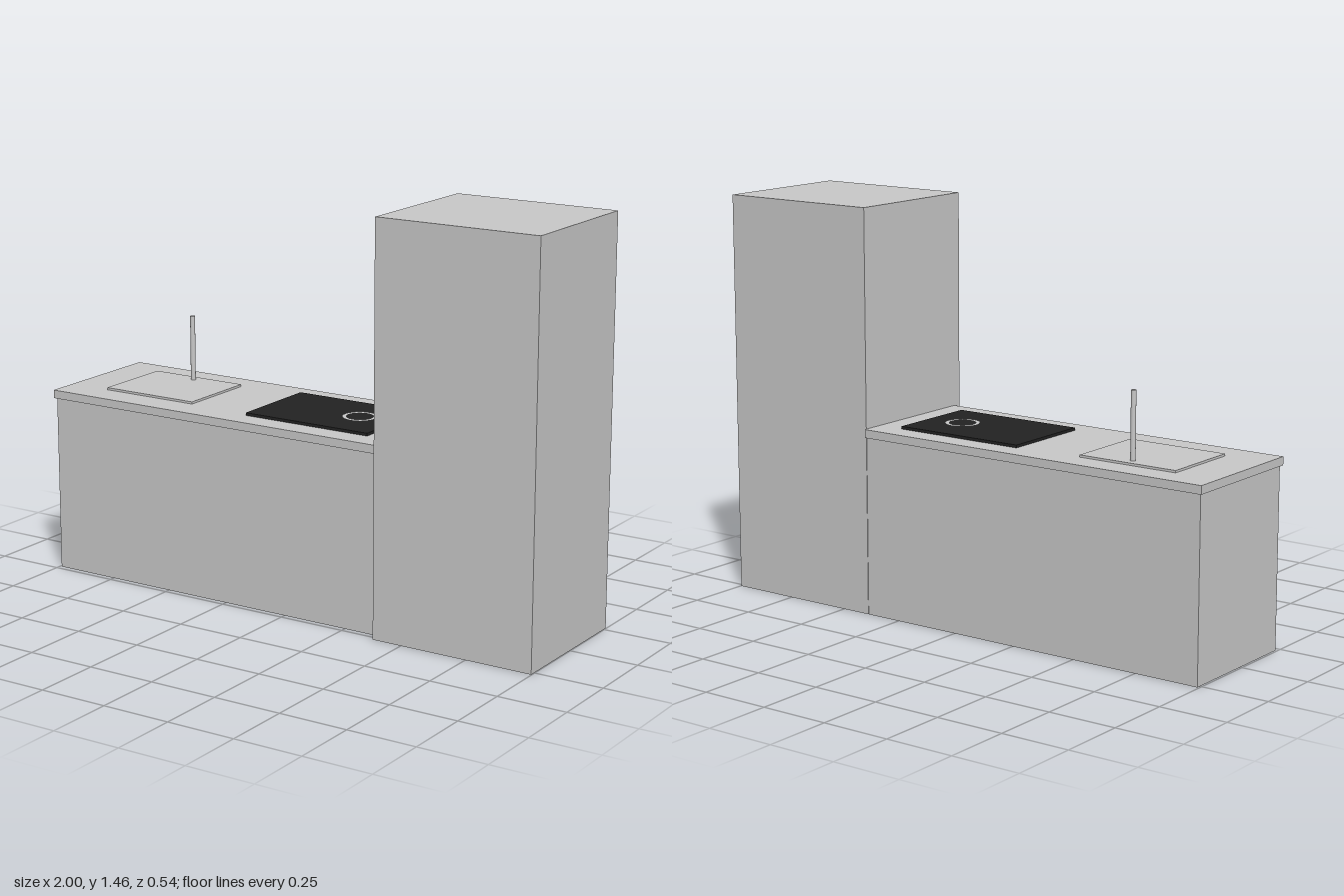
import * as THREE from 'three';

const grey = new THREE.MeshStandardMaterial({ color: 0xc8c8c8 });
grey.name = 'light grey';
const black = new THREE.MeshStandardMaterial({ color: 0x222222 });
black.name = 'hob black';

// Box given by its extents on each axis
function block(name, [x0, x1], [y0, y1], [z0, z1], material) {
  const mesh = new THREE.Mesh(new THREE.BoxGeometry(x1 - x0, y1 - y0, z1 - z0), material);
  mesh.position.set((x0 + x1) / 2, (y0 + y1) / 2, (z0 + z1) / 2);
  mesh.name = name;
  return mesh;
}

export function createModel() {
  const group = new THREE.Group();
  group.name = 'kitchenUnit';

  // Cabinets and worktop
  group.add(
    block('tallCabinet', [0.388, 0.998], [0, 1.455], [-0.265, 0.27], grey),
    block('baseCabinet', [-0.993, 0.386], [0, 0.645], [-0.265, 0.23], grey),
    block('worktop', [-1, 0.388], [0.645, 0.675], [-0.273, 0.24], grey),
    block('sinkPlate', [-0.84, -0.46], [0.675, 0.683], [-0.175, 0.13], grey),
    block('hob', [-0.21, 0.29], [0.675, 0.685], [-0.19, 0.155], black)
  );

  // Upright tap
  const tap = new THREE.Mesh(new THREE.CylinderGeometry(0.009, 0.009, 0.24, 20), grey);
  tap.position.set(-0.65, 0.802, -0.14);
  tap.name = 'tap';
  group.add(tap);

  // Cooking zone ring
  const ring = new THREE.Mesh(new THREE.RingGeometry(0.047, 0.062, 48), grey);
  ring.rotation.x = -Math.PI / 2;
  ring.position.set(0.152, 0.6865, -0.018);
  ring.name = 'cookingRing';
  group.add(ring);

  return group;
}
